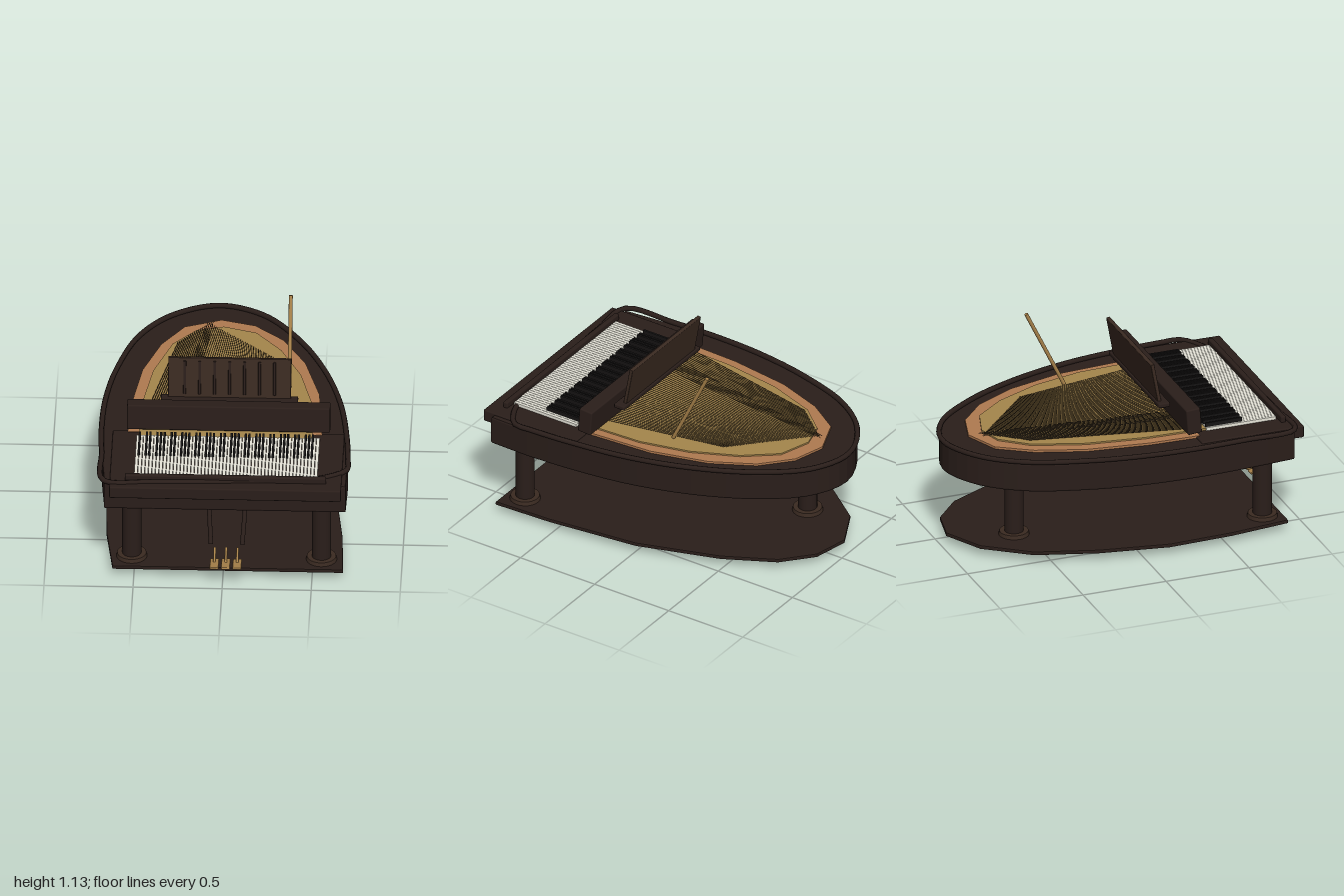
import * as THREE from 'three';
import { mergeGeometries } from 'three/addons/utils/BufferGeometryUtils.js';
import { RoundedBoxGeometry } from 'three/addons/geometries/RoundedBoxGeometry.js';

const paint = (color) => new THREE.MeshStandardMaterial({ color });
const ebony = paint(0x2a1e1a), walnut = paint(0x3a2a21), brass = paint(0xa8824a);
const gold = paint(0xa5864c), copper = paint(0xb07a50), ivory = paint(0xe8e6da);
const black = paint(0x161414), wire = paint(0x4a3b26);

// Curved sides as [x, z], running from the front left of the plan, round the tail, to the other front corner
const caseSide = [[-0.665, 0.905], [-0.69, 0.6], [-0.7, 0.3], [-0.685, 0], [-0.63, -0.32], [-0.515, -0.66],
  [-0.335, -0.88], [-0.085, -0.985], [0.155, -0.9], [0.36, -0.66], [0.52, -0.34], [0.63, 0.03], [0.68, 0.4], [0.695, 0.66]];
const baseOutline = [[-0.62, 0.885], [-0.665, 0.53], [-0.68, 0.15], [-0.61, -0.25], [-0.5, -0.6], [-0.31, -0.85],
  [-0.08, -0.965], [0.13, -0.92], [0.3, -0.77], [0.45, -0.48], [0.6, -0.01], [0.66, 0.53], [0.675, 0.885]];
const soundboardOutline = [[-0.55, 0.38], [-0.54, 0.08], [-0.49, -0.28], [-0.395, -0.555], [-0.27, -0.745],
  [-0.065, -0.825], [0.125, -0.77], [0.29, -0.62], [0.42, -0.38], [0.51, -0.05], [0.54, 0.38]];
const plateOutline = [[-0.49, 0.45], [-0.48, 0.08], [-0.43, -0.26], [-0.33, -0.55], [-0.2, -0.7],
  [-0.05, -0.74], [0.135, -0.68], [0.28, -0.5], [0.4, -0.24], [0.47, 0.05], [0.49, 0.45]];

const v3 = (x, y, z) => new THREE.Vector3(x, y, z);

function add(parent, name, geometry, material, x = 0, y = 0, z = 0) {
  const mesh = new THREE.Mesh(geometry, material);
  mesh.name = name;
  mesh.position.set(x, y, z);
  parent.add(mesh);
  return mesh;
}

const roundBox = (w, h, d, r = 0.008) => new RoundedBoxGeometry(w, h, d, 2, r);

// Horizontal slab with a plan outline, from height y0 to y1
function slab(points, y0, y1, bevel = 0) {
  const shape = new THREE.Shape(points.map(([x, z]) => new THREE.Vector2(x, -z)));
  const geometry = new THREE.ExtrudeGeometry(shape, {
    depth: y1 - y0 - 2 * bevel, bevelEnabled: bevel > 0, bevelSize: bevel,
    bevelThickness: bevel, bevelOffset: -bevel, bevelSegments: 2,
  });
  return geometry.rotateX(-Math.PI / 2).translate(0, y0 + bevel, 0);
}

// Straight round rod between two points
function rod(a, b, radius, sides = 12) {
  const geometry = new THREE.CylinderGeometry(radius, radius, a.distanceTo(b), sides);
  const dir = b.clone().sub(a).normalize();
  geometry.applyQuaternion(new THREE.Quaternion().setFromUnitVectors(v3(0, 1, 0), dir));
  const mid = a.clone().add(b).multiplyScalar(0.5);
  return geometry.translate(mid.x, mid.y, mid.z);
}

function buildCase(piano) {
  const curve = new THREE.CatmullRomCurve3(caseSide.map(([x, z]) => v3(x, 0, z)));
  const plan = curve.getPoints(48).map((p) => [p.x, p.z]);
  add(piano, 'case', slab([...plan, [0.69, 0.905]], 0.455, 0.63, 0.012), ebony);

  // Rim moulding sweeps across the front over the key bed
  const front = [[0.695, 0.74], [0.6, 0.815], [0.4, 0.87], [0, 0.895], [-0.4, 0.91]];
  const rim = new THREE.CatmullRomCurve3([...caseSide, ...front].map(([x, z]) => v3(x, 0.64, z)), true);
  add(piano, 'rimMoulding', new THREE.TubeGeometry(rim, 120, 0.015, 8, true), ebony);

  add(piano, 'soundboard', slab(soundboardOutline, 0.62, 0.643), copper);
  add(piano, 'ironPlate', slab(plateOutline, 0.63, 0.652), gold);
}

function buildStrings(piano) {
  const strings = [];
  // Treble strings shorten towards the right
  for (let i = 0; i < 44; i++) {
    const t = i / 43;
    strings.push(rod(v3(-0.34 + 0.74 * t, 0.66, 0.34), v3(-0.14 + 0.405 * t, 0.66, -0.77 + 0.385 * t), 0.0016, 4));
  }
  // Bass strings cross at a slant
  for (let i = 0; i < 18; i++) {
    const t = i / 17;
    strings.push(rod(v3(-0.48 + 0.25 * t, 0.664, 0.34), v3(-0.3 + 0.19 * t, 0.664, -0.55 - 0.23 * t), 0.002, 4));
  }
  add(piano, 'strings', mergeGeometries(strings), wire);
}

function buildKeyboard(piano) {
  add(piano, 'keyBed', roundBox(1.3, 0.072, 0.615), ebony, 0.015, 0.604, 0.668);
  add(piano, 'keySlip', roundBox(1.13, 0.04, 0.03), ebony, 0.015, 0.655, 0.885);

  const whites = [], blacks = [], pitch = 1.03 / 52;
  for (let i = 0; i < 52; i++) {
    const x = -0.5 + (i + 0.5) * pitch;
    whites.push(new THREE.BoxGeometry(pitch * 0.88, 0.022, 0.42).translate(x, 0.647, 0.65));
    // Sharps follow A, C, D, F and G in each octave
    if (i < 51 && [0, 2, 3, 5, 6].includes(i % 7)) {
      blacks.push(new THREE.BoxGeometry(pitch * 0.6, 0.026, 0.22).translate(x + pitch / 2, 0.668, 0.55));
    }
  }
  add(piano, 'whiteKeys', mergeGeometries(whites), ivory);
  add(piano, 'blackKeys', mergeGeometries(blacks), black);

  const fallboard = add(piano, 'fallboard', roundBox(1.14, 0.152, 0.085), ebony, 0.015, 0.736, 0.345);
  fallboard.rotation.x = -0.08;
}

function buildMusicDesk(piano) {
  const desk = new THREE.Group();
  desk.name = 'musicDesk';
  desk.position.set(0.015, 0.9, 0.203);
  desk.rotation.x = -0.18;
  piano.add(desk);
  add(desk, 'deskPanel', roundBox(0.69, 0.24, 0.022, 0.004), walnut);
  for (let i = -3; i <= 3; i++) {
    add(desk, 'deskSlat', roundBox(0.016, 0.2, 0.012, 0.004), ebony, i * 0.084, 0.002, 0.013);
  }
  add(piano, 'deskLedge', roundBox(0.77, 0.028, 0.07), ebony, 0.015, 0.774, 0.238);
}

function buildSupports(piano) {
  add(piano, 'baseBoard', slab(baseOutline, 0.045, 0.068, 0.006), ebony);
  for (const [x, z] of [[-0.515, 0.77], [0.55, 0.77], [-0.23, -0.615]]) {
    const leg = new THREE.Group();
    leg.name = 'leg';
    leg.position.set(x, 0, z);
    piano.add(leg);
    add(leg, 'legColumn', new THREE.CylinderGeometry(0.054, 0.054, 0.39, 24), ebony, 0, 0.275, 0);
    add(leg, 'legFoot', new THREE.CylinderGeometry(0.082, 0.088, 0.026, 24), walnut, 0, 0.077, 0);
    add(leg, 'caster', new THREE.SphereGeometry(0.025, 16, 12), brass, 0, 0.025, -0.014);
  }
}

function buildPedals(piano) {
  for (const side of [-1, 1]) {
    const x = 0.018;
    add(piano, 'lyreStrut', rod(v3(x + side * 0.11, 0.47, 0.64), v3(x + side * 0.088, 0.17, 0.8), 0.013), ebony);
  }
  for (const x of [-0.046, 0.018, 0.082]) {
    const pedal = add(piano, 'pedal', roundBox(0.05, 0.013, 0.125, 0.005), brass, x, 0.124, 0.937);
    pedal.rotation.x = -0.12;
    add(piano, 'pedalRod', rod(v3(x, 0.125, 0.925), v3(x, 0.178, 0.848), 0.007), brass);
  }
}

export function createModel() {
  const piano = new THREE.Group();
  piano.name = 'grandPiano';
  buildCase(piano);
  buildStrings(piano);
  buildKeyboard(piano);
  buildMusicDesk(piano);
  buildSupports(piano);
  buildPedals(piano);
  add(piano, 'propStick', rod(v3(0.34, 0.66, -0.09), v3(0.34, 1.128, -0.318), 0.011), brass);
  return piano;
}
